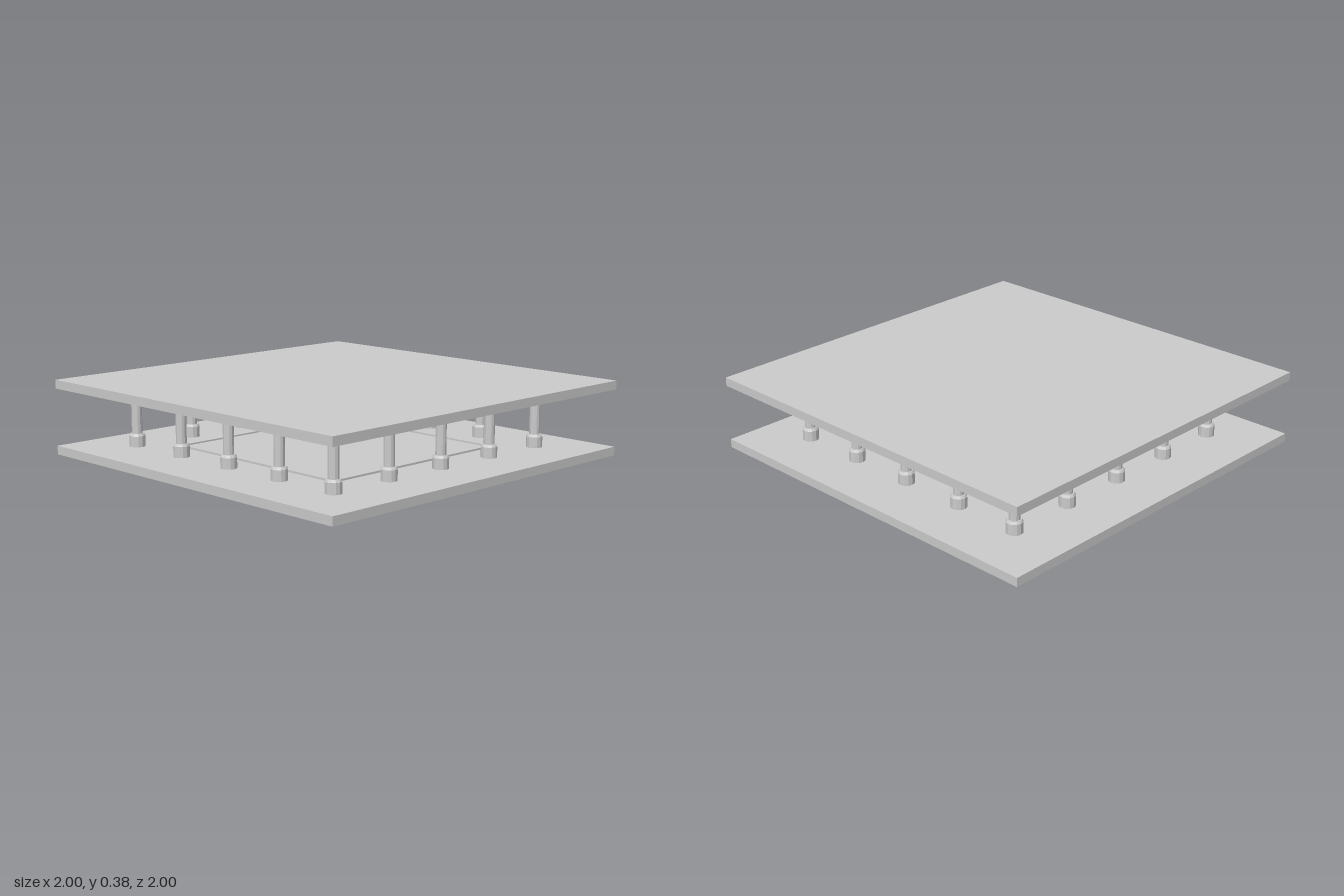
import * as THREE from 'three';

const material = new THREE.MeshStandardMaterial({ color: 0xcccccc, flatShading: true });

function part(name, geometry, y = 0) {
  const mesh = new THREE.Mesh(geometry, material);
  mesh.name = name;
  mesh.position.y = y;
  return mesh;
}

function square(half, Type = THREE.Shape) {
  return new Type([[-1, -1], [1, -1], [1, 1], [-1, 1]].map(([x, y]) => new THREE.Vector2(x * half, y * half)));
}

export function createModel() {
  const model = new THREE.Group();
  const slab = 0.045, roofBottom = 0.34, groove = 0.015;

  // Floor slab with a shallow square groove inside the colonnade
  const base = new THREE.Group();
  base.name = 'floorSlab';
  const floorHeight = slab - groove;
  base.add(part('floorBody', new THREE.BoxGeometry(2, floorHeight, 2), floorHeight / 2));
  const border = square(1);
  border.holes.push(square(0.57, THREE.Path));
  const borderGeometry = new THREE.ExtrudeGeometry(border, { depth: groove, bevelEnabled: false });
  borderGeometry.rotateX(-Math.PI / 2);
  base.add(part('floorBorder', borderGeometry, floorHeight));
  base.add(part('floorPanel', new THREE.BoxGeometry(1.08, groove, 1.08), slab - groove / 2));
  model.add(base);

  // Roof slab
  model.add(part('roofSlab', new THREE.BoxGeometry(2, slab, 2), roofBottom + slab / 2));

  // Column profile: drum foot, small step, straight shaft
  const profile = [[0, slab], [0.041, slab], [0.041, 0.1], [0.034, 0.112], [0.027, 0.112], [0.027, roofBottom], [0, roofBottom]]
    .map(([r, y]) => new THREE.Vector2(r, y));
  const columnGeometry = new THREE.LatheGeometry(profile, 12);

  // Five columns along every side, sharing the corners
  for (let i = -2; i <= 2; i++) {
    for (let j = -2; j <= 2; j++) {
      if (Math.max(Math.abs(i), Math.abs(j)) < 2) continue;
      const column = part('column', columnGeometry);
      column.position.set(i * 0.356, 0, j * 0.356);
      model.add(column);
    }
  }
  return model;
}
